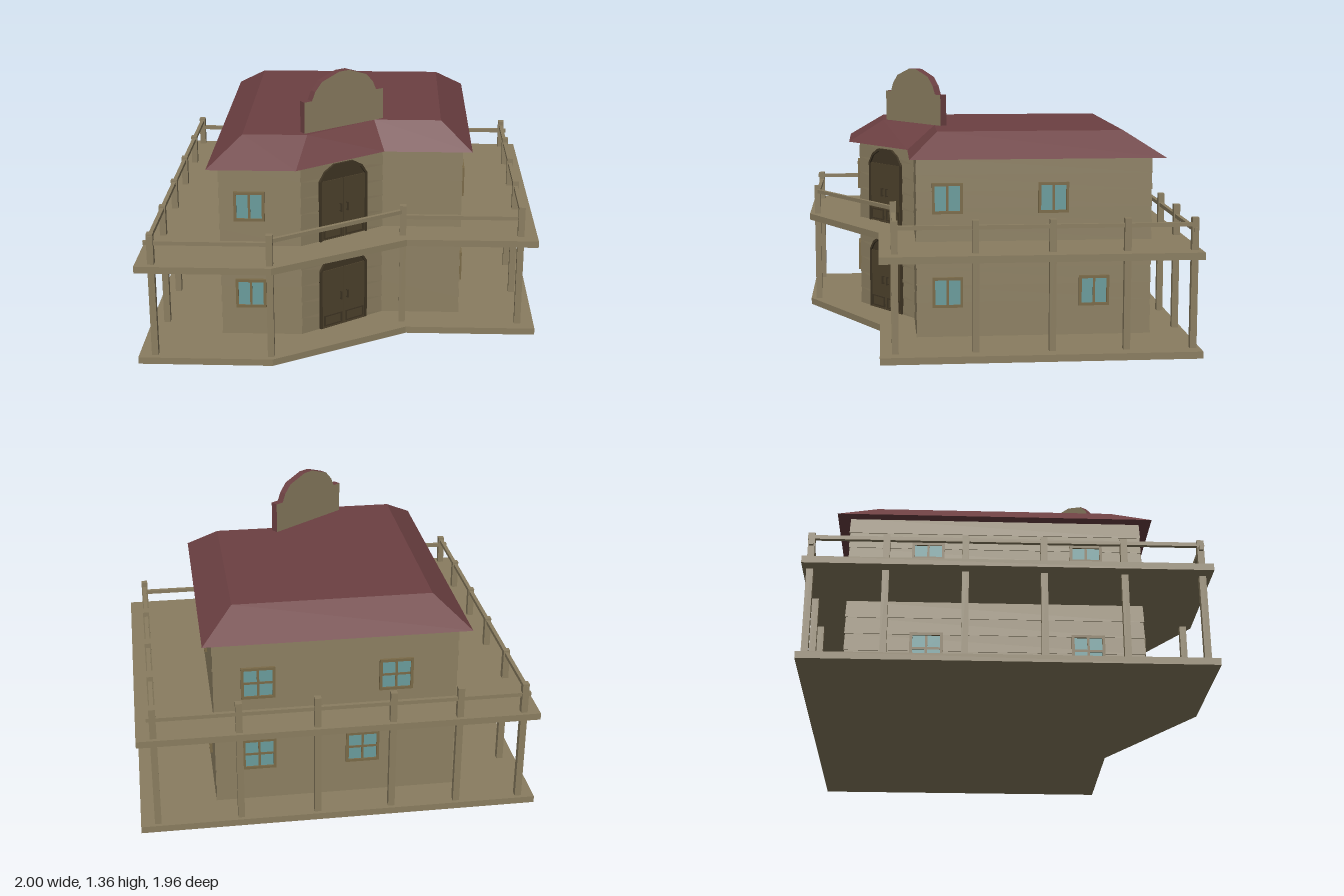
import * as THREE from 'three';

const mat = (color, extra = {}) => new THREE.MeshStandardMaterial({ color, flatShading: true, ...extra });
const WOOD = mat(0x8a7d60), ROOF = mat(0x6c4042), FRAME = mat(0x7a6a48),
  GLASS = mat(0x6a9c9c), DOOR = mat(0x4e422c), ARCH = mat(0x3f3524);

// Footprints as [x, z], going round from the back right-hand corner
const DECK = [[-1, -0.98], [1, -0.98], [1, 0.59], [0.33, 0.59], [-0.33, 0.98], [-1, 0.98]];
const WALL = [[-0.61, -0.79], [0.61, -0.79], [0.61, 0.4], [0.2, 0.4], [-0.2, 0.69], [-0.61, 0.69]];
const EAVES = [[-0.665, -0.855], [0.66, -0.855], [0.66, 0.435], [0.21, 0.435], [-0.22, 0.75], [-0.665, 0.75]];
const RIDGE = [[-0.5, -0.66], [0.5, -0.66], [0.5, 0.29], [0.155, 0.29], [-0.175, 0.56], [-0.5, 0.56]];

function add(parent, name, geometry, material, x = 0, y = 0, z = 0) {
  const mesh = new THREE.Mesh(geometry, material);
  mesh.name = name;
  mesh.position.set(x, y, z);
  parent.add(mesh);
  return mesh;
}

const box = (parent, name, w, h, d, material, x, y, z) =>
  add(parent, name, new THREE.BoxGeometry(w, h, d), material, x, y, z);

// Solid between a lower outline and an upper outline with the same corner count
function loft(low, high, y0, y1) {
  const v = [];
  const put = (p, y) => v.push(p[0], y, p[1]);
  low.forEach((a, i) => {
    const j = (i + 1) % low.length, b = low[j], c = high[j], d = high[i];
    put(a, y0); put(d, y1); put(c, y1);
    put(a, y0); put(c, y1); put(b, y0);
  });
  for (const [poly, y, up] of [[low, y0, false], [high, y1, true]]) {
    const tris = THREE.ShapeUtils.triangulateShape(poly.map(p => new THREE.Vector2(...p)), []);
    for (const t of tris) {
      const [a, b, c] = t.map(i => poly[i]);
      const ny = (b[1] - a[1]) * (c[0] - a[0]) - (b[0] - a[0]) * (c[1] - a[1]);
      const order = (ny > 0) === up ? [a, b, c] : [a, c, b];
      order.forEach(p => put(p, y));
    }
  }
  const g = new THREE.BufferGeometry();
  g.setAttribute('position', new THREE.Float32BufferAttribute(v, 3));
  g.computeVertexNormals();
  return g;
}

// Group on a wall whose local +z points outward
function mount(parent, name, x, y, z, angle) {
  const g = new THREE.Group();
  g.name = name;
  g.position.set(x, y, z);
  g.rotation.y = angle;
  parent.add(g);
  return g;
}

function makeWindow(parent, x, y, z, angle, rows, w, h) {
  const g = mount(parent, 'window', x, y, z, angle);
  const t = 0.014;
  box(g, 'glass', w - t, h - t, 0.012, GLASS, 0, 0, 0.003);
  for (const s of [-1, 1]) {
    box(g, 'frameSide', t, h, 0.034, FRAME, s * (w - t) / 2, 0, 0);
    box(g, 'frameRail', w, t, 0.034, FRAME, 0, s * (h - t) / 2, 0);
  }
  box(g, 'mullion', 0.012, h - t, 0.024, FRAME, 0, 0, 0);
  if (rows > 1) box(g, 'glazingBar', w - t, 0.012, 0.024, FRAME, 0, 0, 0);
}

// Door outline: straight sides with a faceted arch
function archPoints(w, spring, rise) {
  const half = [[1, 0], [0.78, 0.58], [0.4, 0.96]];
  const pts = [[w, 0], ...half.map(([a, b]) => [w * a, spring + rise * b])];
  return [...pts, ...pts.slice().reverse().map(([x, y]) => [-x, y])].map(p => new THREE.Vector2(...p));
}

function makeDoor(parent, y) {
  const g = mount(parent, 'doorway', 0, y, 0.545, Math.atan2(0.29, 0.4));
  const extrude = (shape, depth) => new THREE.ExtrudeGeometry(shape, { depth, bevelEnabled: false });
  add(g, 'archPanel', extrude(new THREE.Shape(archPoints(0.136, 0.32, 0.077)), 0.016), ARCH, 0, 0, -0.01);
  const ring = new THREE.Shape(archPoints(0.144, 0.322, 0.083));
  ring.holes.push(new THREE.Path(archPoints(0.133, 0.318, 0.073)));
  add(g, 'doorFrame', extrude(ring, 0.025), ARCH, 0, 0, -0.01);
  for (const s of [-1, 1]) {
    box(g, 'doorLeaf', 0.129, 0.318, 0.016, DOOR, s * 0.0665, 0.161, 0.002);
    // Raised border of the kick panel
    for (const e of [-1, 1]) {
      box(g, 'panelRail', 0.11, 0.007, 0.008, ARCH, s * 0.067, 0.04 + e * 0.026, 0.012);
      box(g, 'panelStile', 0.007, 0.052, 0.008, ARCH, s * 0.067 + e * 0.052, 0.04, 0.012);
    }
    box(g, 'handle', 0.007, 0.045, 0.007, ARCH, s * 0.02, 0.165, 0.021);
    for (const e of [-1, 1]) box(g, 'handleMount', 0.007, 0.007, 0.014, ARCH, s * 0.02, 0.165 + e * 0.019, 0.014);
  }
}

function makeRail(parent, a, b, y, over = 0) {
  const dx = b[0] - a[0], dz = b[1] - a[1];
  const rail = box(parent, 'railing', Math.hypot(dx, dz) + over, 0.02, 0.02, WOOD,
    (a[0] + b[0]) / 2, y, (a[1] + b[1]) / 2);
  rail.rotation.y = Math.atan2(-dz, dx);
}

export function createModel() {
  const model = new THREE.Group();
  model.name = 'house';

  // Ground deck and balcony
  add(model, 'groundDeck', loft(DECK, DECK, 0, 0.035), WOOD);
  add(model, 'balconyDeck', loft(DECK, DECK, 0.49, 0.525), WOOD);

  // Two storeys of lapped boards, each course flared slightly at its foot
  const flared = WALL.map(([x, z]) => [x + Math.sign(x) * 0.004, z + Math.sign(z) * 0.004]);
  for (const [y0, y1] of [[0.035, 0.48], [0.525, 0.95]]) {
    const h = (y1 - y0) / 5;
    for (let i = 0; i < 5; i++) {
      add(model, 'wallBoards', loft(flared, WALL, y0 + i * h, y0 + (i + 1) * h), WOOD);
    }
  }

  // Hipped roof with a flat top
  add(model, 'roof', loft(EAVES, RIDGE, 0.945, 1.07), ROOF);

  // False-front gable above the doors
  const half = [[0.24, 0], [0.24, 0.17], [0.195, 0.17], [0.175, 0.215], [0.135, 0.26], [0.03, 0.298]];
  const outline = [...half, ...half.slice().reverse().map(([x, y]) => [-x, y])];
  const gable = new THREE.ExtrudeGeometry(
    new THREE.Shape(outline.map(p => new THREE.Vector2(...p))), { depth: 0.04, bevelEnabled: false });
  add(mount(model, 'gable', -0.018, 1.062, 0.368, Math.atan2(0.29, 0.4)), 'gableBoard', gable, [WOOD, ROOF]);

  makeDoor(model, 0.037);
  makeDoor(model, 0.525);

  // Windows: front, left side, back, right side
  const R = Math.PI / 2;
  for (const y of [0.265, 0.738]) makeWindow(model, -0.46, y, 0.69, 0, 1, 0.155, 0.155);
  for (const [z, y] of [[0.245, 0.265], [-0.5, 0.265], [0.245, 0.745], [-0.29, 0.745]])
    makeWindow(model, 0.61, y, z, R, 1, 0.155, 0.155);
  for (const [x, y] of [[0.39, 0.3], [-0.135, 0.3], [0.39, 0.705], [-0.3, 0.705]])
    makeWindow(model, x, y, -0.79, 2 * R, 2, 0.17, 0.17);
  for (const z of [-0.39, 0.41]) for (const y of [0.225, 0.725])
    makeWindow(model, -0.61, y, z, -R, 2, 0.165, 0.165);

  // Posts running through both levels
  const xs = [-0.92, -0.595, -0.26, 0.115, 0.5, 0.915];
  const posts = [
    ...xs.map(x => [x, -0.945]),
    ...[-0.615, -0.25, 0.125, 0.515].map(z => [0.915, z]),
    [0.31, 0.515], [-0.34, 0.935], [-0.92, 0.935],
    ...[-0.585, -0.205, 0.173, 0.56].map(z => [-0.92, z]),
  ];
  for (const [x, z] of posts) box(model, 'post', 0.033, 0.65, 0.033, WOOD, x, 0.36, z);

  // Railings
  makeRail(model, [-0.92, -0.945], [0.915, -0.945], 0.625, 0.06);
  makeRail(model, [0.915, -0.945], [0.915, 0.515], 0.65);
  makeRail(model, [0.915, 0.515], [0.31, 0.515], 0.622);
  makeRail(model, [0.31, 0.515], [-0.34, 0.935], 0.652);
  makeRail(model, [-0.34, 0.935], [-0.94, 0.935], 0.635, 0.03);
  makeRail(model, [-0.92, 0.935], [-0.92, -0.945], 0.665, 0.04);

  return model;
}
